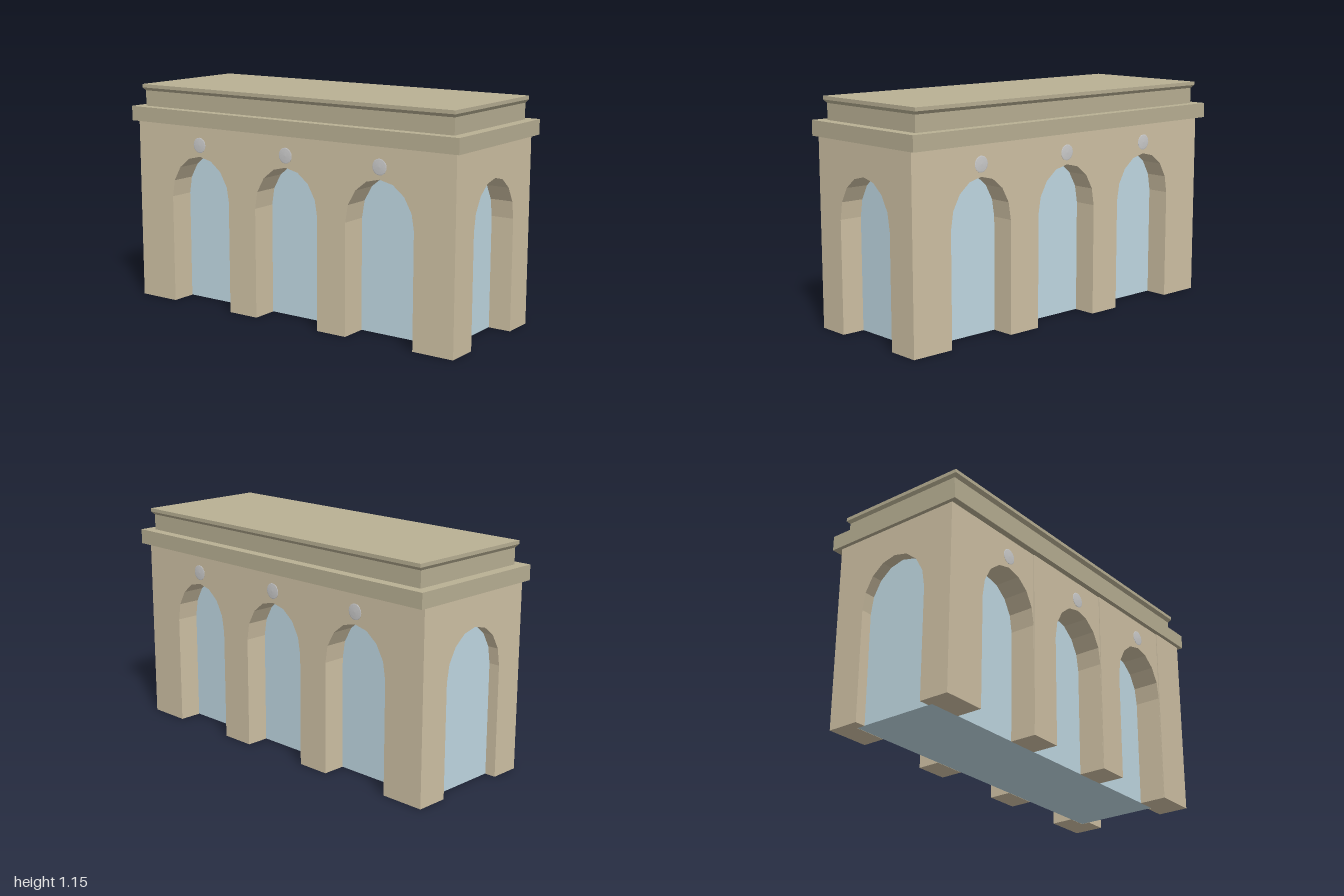
import * as THREE from 'three';

const stone = new THREE.MeshStandardMaterial({ color: 0xd0c2a5, flatShading: true });
const trim = new THREE.MeshStandardMaterial({ color: 0xb9b094, flatShading: true });
const glass = new THREE.MeshStandardMaterial({ color: 0xc1dae4, flatShading: true });
const grey = new THREE.MeshStandardMaterial({ color: 0xcccccc, flatShading: true });

const WALL_TOP = 0.97, SPRING = 0.57, CROWN = 0.8, HALF_ARCH = 0.194;
const LEFT = 0.35, RIGHT = -0.372, FRONT = 0.978, BACK = -0.98;
// Faces of the glazed core behind the arches
const CORE = { left: 0.23, right: -0.225, front: 0.86, back: -0.923 };

// Wall outline from a to b, notched by arches [centre, half width] that reach the ground
function archedWall(a, b, arches, depth) {
  const shape = new THREE.Shape();
  shape.moveTo(a, 0);
  for (const [c, half] of arches) {
    shape.lineTo(c - half, 0);
    for (let i = 0; i <= 8; i++) {
      const t = Math.PI * (1 - i / 8);
      shape.lineTo(c + half * Math.cos(t), SPRING + (CROWN - SPRING) * Math.sin(t));
    }
    shape.lineTo(c + half, 0);
  }
  shape.lineTo(b, 0);
  shape.lineTo(b, WALL_TOP);
  shape.lineTo(a, WALL_TOP);
  return new THREE.ExtrudeGeometry(shape, { depth, bevelEnabled: false });
}

export function createModel() {
  const group = new THREE.Group();
  const add = (name, geometry, material, x = 0, y = 0, z = 0) => {
    const mesh = new THREE.Mesh(geometry, material);
    mesh.name = name;
    mesh.position.set(x, y, z);
    group.add(mesh);
    return mesh;
  };
  const box = (name, material, x0, x1, y0, y1, z0, z1) =>
    add(name, new THREE.BoxGeometry(x1 - x0, y1 - y0, z1 - z0), material,
      (x0 + x1) / 2, (y0 + y1) / 2, (z0 + z1) / 2);

  // Shallow domed medallion, set above every side arch
  const profile = [[0.04, -0.006], [0.04, 0.001], [0.036, 0.002], [0.022, 0.003], [0, 0.004]]
    .map(([r, y]) => new THREE.Vector2(r, y));
  const medallion = new THREE.LatheGeometry(profile, 16);

  // Left wall with three arches; local x runs towards -z
  const leftArches = [[-0.567, 0.186], [-0.005, HALF_ARCH], [0.557, HALF_ARCH]];
  add('leftWall', archedWall(-FRONT, -BACK, leftArches, LEFT - CORE.left), stone, CORE.left)
    .rotation.y = Math.PI / 2;
  for (const [c] of leftArches) {
    add('medallion', medallion, grey, LEFT, 0.86, -c).rotation.z = -Math.PI / 2;
  }

  // Right wall in panels, each a little prouder towards the front
  const seams = [BACK, -0.362, 0.2, 0.757, FRONT];
  const rightBays = [-0.557, 0.005, 0.562];
  for (let i = 0; i < 4; i++) {
    const face = RIGHT + 0.004 * (3 - i);
    const arches = i < 3 ? [[-rightBays[i], HALF_ARCH]] : [];
    add('rightWallPanel', archedWall(-seams[i + 1], -seams[i], arches, CORE.right - face), stone, face)
      .rotation.y = Math.PI / 2;
    if (i < 3) add('medallion', medallion, grey, face, 0.86, rightBays[i]).rotation.z = Math.PI / 2;
  }

  // Short end walls between them, one arch each
  const endArch = [[-0.01, HALF_ARCH]];
  add('frontWall', archedWall(CORE.right, CORE.left, endArch, FRONT - CORE.front), stone, 0, 0, CORE.front);
  add('backWall', archedWall(CORE.right, CORE.left, endArch, CORE.back - BACK), stone, 0, 0, BACK);

  // Glazed core
  box('glazing', glass, CORE.right, CORE.left, 0.001, 0.95, CORE.back, CORE.front);

  // Cornice and attic
  box('cornice', trim, -0.393, 0.393, 0.96, 1.037, -1, 1);
  box('attic', trim, -0.341, 0.341, 1.037, 1.125, -0.945, 0.945);

  // Roof cap: lower corners drawn in to make the sloped underside
  const slope = new THREE.BoxGeometry(0.714, 0.016, 1.912);
  const p = slope.attributes.position;
  for (let i = 0; i < p.count; i++) {
    if (p.getY(i) < 0) {
      p.setX(i, Math.sign(p.getX(i)) * 0.341);
      p.setZ(i, Math.sign(p.getZ(i)) * 0.945);
    }
  }
  slope.computeVertexNormals();
  add('capSlope', slope, trim, 0, 1.127, 0);
  box('roofCap', trim, -0.357, 0.357, 1.135, 1.153, -0.956, 0.956);

  return group;
}
